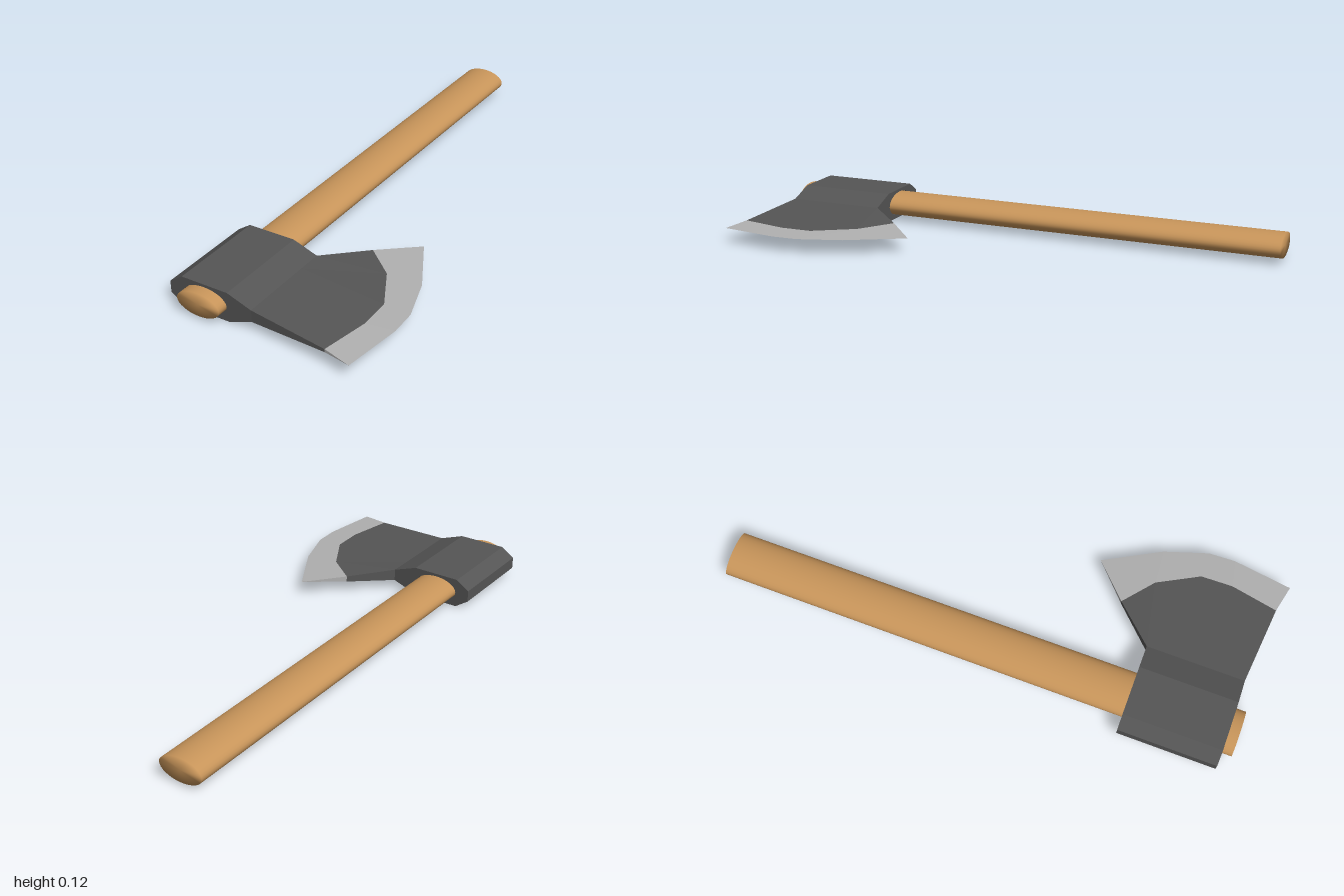
import * as THREE from 'three';
import { mergeVertices } from 'three/addons/utils/BufferGeometryUtils.js';

const MID = 0.0575; // height of the axe's middle plane
const HANDLE_X = -0.245;

// Blade sections from back to front: [x, z] at the socket, the bevel line and the cutting edge
const ROOT = [[-0.055, 0.57], [-0.055, 0.66], [-0.055, 0.76], [-0.055, 0.85], [-0.055, 0.946]];
const BEVEL = [[0.082, 0.426], [0.198, 0.521], [0.283, 0.675], [0.286, 0.796], [0.251, 0.976]];
const EDGE = [[0.214, 0.3], [0.33, 0.51], [0.384, 0.675], [0.388, 0.775], [0.357, 1.0]];
const ROOT_HALF = 0.023;

// Half thickness falls evenly from the socket to the cutting edge
function halfThickness([x], i) {
  return ROOT_HALF * (EDGE[i][0] - x) / (EDGE[i][0] - ROOT[i][0]);
}

// Solid band of the blade between two lines of sections
function bladeBand(inner, outer) {
  const pos = [];
  const point = (line, i, side) => [line[i][0], MID + side * halfThickness(line[i], i), line[i][1]];
  const quad = (a, b, c, d) => pos.push(...a, ...b, ...c, ...a, ...c, ...d);
  const last = inner.length - 1;
  for (let i = 0; i < last; i++) {
    quad(point(inner, i, 1), point(inner, i + 1, 1), point(outer, i + 1, 1), point(outer, i, 1));
    quad(point(inner, i, -1), point(outer, i, -1), point(outer, i + 1, -1), point(inner, i + 1, -1));
  }
  // Back and front end faces
  quad(point(inner, 0, -1), point(inner, 0, 1), point(outer, 0, 1), point(outer, 0, -1));
  quad(point(inner, last, -1), point(outer, last, -1), point(outer, last, 1), point(inner, last, 1));
  const geo = new THREE.BufferGeometry();
  geo.setAttribute('position', new THREE.Float32BufferAttribute(pos, 3));
  geo.computeVertexNormals();
  return geo;
}

export function createModel() {
  const axe = new THREE.Group();
  axe.name = 'axe';
  const wood = new THREE.MeshStandardMaterial({ color: 0xc8955a });
  const iron = new THREE.MeshStandardMaterial({ color: 0x555555, flatShading: true });
  const steel = new THREE.MeshStandardMaterial({ color: 0xb0b0b0, flatShading: true });
  const add = (name, geo, material) => {
    const mesh = new THREE.Mesh(geo, material);
    mesh.name = name;
    axe.add(mesh);
  };

  // Oval handle, with shading that runs smoothly over its flat ends
  let handle = new THREE.CylinderGeometry(1, 1, 1.985, 32);
  handle.deleteAttribute('uv');
  handle.deleteAttribute('normal');
  handle = mergeVertices(handle);
  handle.rotateX(Math.PI / 2).scale(0.087, 0.0455, 1).translate(HANDLE_X, MID, -0.0075);
  handle.computeVertexNormals();
  add('handle', handle, wood);

  // Socket with an oval eye for the handle
  const outline = [[-0.39, 0.035], [-0.338, 0], [-0.15, 0], [-0.055, 0.0345],
    [-0.055, 0.0805], [-0.15, 0.115], [-0.338, 0.115], [-0.39, 0.08]];
  const section = new THREE.Shape(outline.map(([x, y]) => new THREE.Vector2(x, y)));
  section.holes.push(new THREE.Path().absellipse(HANDLE_X, MID, 0.089, 0.047, 0, Math.PI * 2, true));
  const socket = new THREE.ExtrudeGeometry(section, { depth: 0.376, bevelEnabled: false, curveSegments: 16 });
  add('socket', socket.translate(0, 0, 0.57), iron);

  // Flared blade and its bright cutting bevel
  add('blade', bladeBand(ROOT, BEVEL), iron);
  add('cuttingBevel', bladeBand(BEVEL, EDGE), steel);
  return axe;
}
